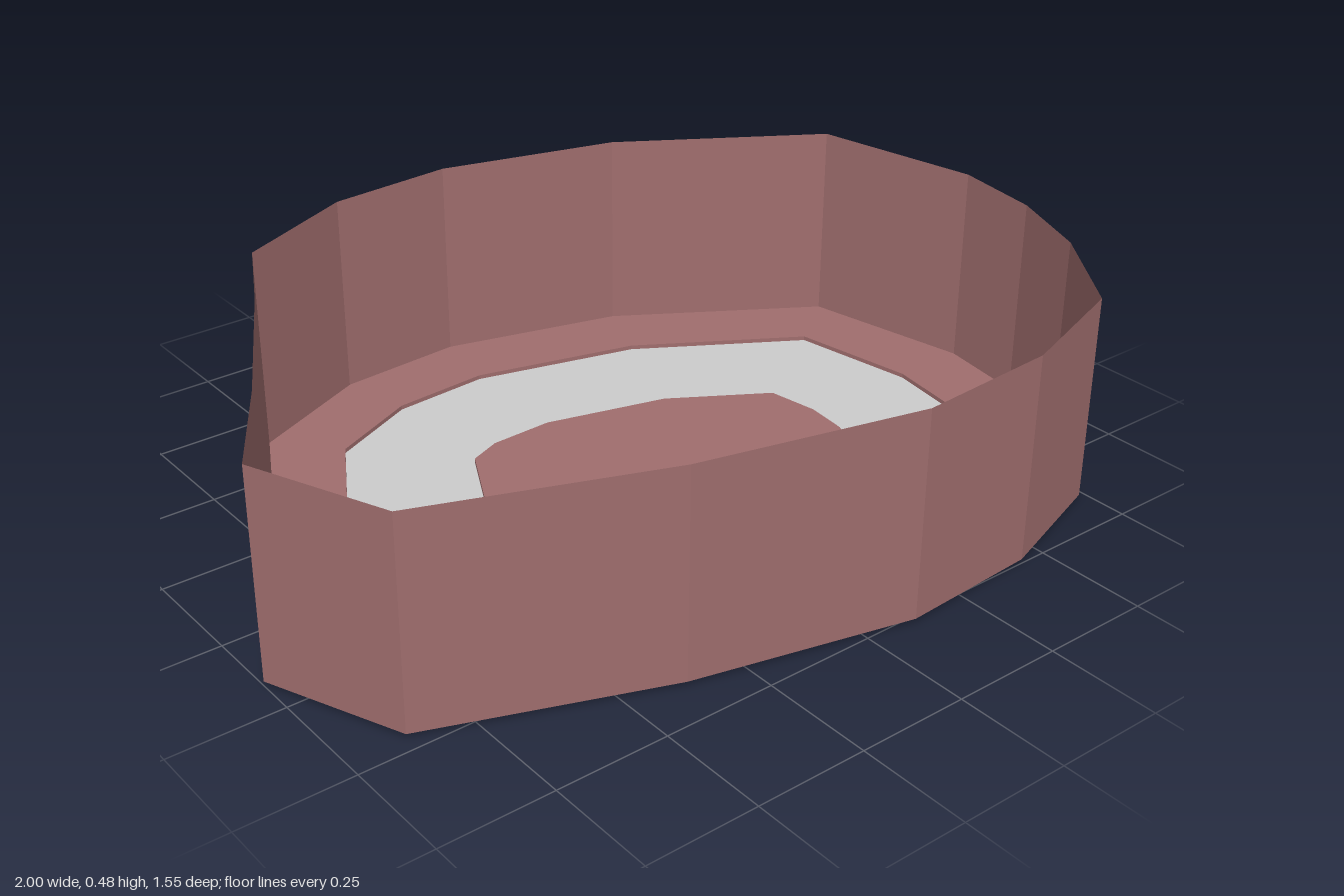
import * as THREE from 'three';

// Matching 16-point outlines as x, z pairs
const OUTER = [-1, .165, -.85, -.07, -.65, -.42, -.54, -.63, -.25, -.76, .05, -.78, .47, -.67, .92, -.39,
  1, .01, .97, .22, .89, .42, .725, .65, .435, .75, .11, .77, -.375, .655, -.877, .465];
const MIDDLE = [-.81, .18, -.7, -.01, -.56, -.26, -.42, -.5, -.21, -.595, .02, -.61, .405, -.51, .775, -.285,
  .825, .01, .8, .19, .74, .34, .62, .51, .405, .585, .13, .6, -.32, .5, -.745, .34];
const INNER = [-.41, .1, -.395, .04, -.3, -.12, -.215, -.285, -.14, -.315, .01, -.32, .295, -.245, .515, -.11,
  .535, .01, .525, .11, .485, .2, .44, .265, .35, .3, .165, .31, .03, .29, -.35, .195];

const FLOOR = 0.01, RIM = 0.48;

// Lift an outline to a height
function loop(outline, y) {
  const points = [];
  for (let i = 0; i < outline.length; i += 2) points.push(new THREE.Vector3(outline[i], y, outline[i + 1]));
  return points;
}

// Flat-shaded band of quads between two closed loops
function band(a, b) {
  const points = [];
  for (let i = 0; i < a.length; i++) {
    const j = (i + 1) % a.length;
    points.push(a[i], b[j], b[i], a[i], a[j], b[j]);
  }
  const geometry = new THREE.BufferGeometry().setFromPoints(points);
  geometry.computeVertexNormals();
  return geometry;
}

// Flat horizontal face filling an outline
function cap(outline, y) {
  const shape = new THREE.Shape(loop(outline, 0).map((p) => new THREE.Vector2(p.x, -p.z)));
  return new THREE.ShapeGeometry(shape).rotateX(-Math.PI / 2).translate(0, y, 0);
}

export function createModel() {
  const clay = new THREE.MeshStandardMaterial({ color: 0xa06e6e, side: THREE.DoubleSide });
  clay.name = 'dusty red';
  const grey = new THREE.MeshStandardMaterial({ color: 0xcccccc, side: THREE.DoubleSide });
  grey.name = 'light grey';

  const model = new THREE.Group();
  model.name = 'tray';
  const add = (name, geometry, material) => {
    const mesh = new THREE.Mesh(geometry, material);
    mesh.name = name;
    model.add(mesh);
  };

  // Thin upright wall and the floor inside it
  add('wall', band(loop(OUTER, FLOOR), loop(OUTER, RIM)), clay);
  add('floorBorder', band(loop(MIDDLE, FLOOR), loop(OUTER, FLOOR)), clay);

  // Shallow sunken ring around a raised centre
  add('outerStep', band(loop(MIDDLE, 0), loop(MIDDLE, FLOOR)), clay);
  add('sunkenRing', band(loop(INNER, 0), loop(MIDDLE, 0)), grey);
  add('innerStep', band(loop(INNER, 0), loop(INNER, FLOOR)), clay);
  add('floorCentre', cap(INNER, FLOOR), clay);

  return model;
}
